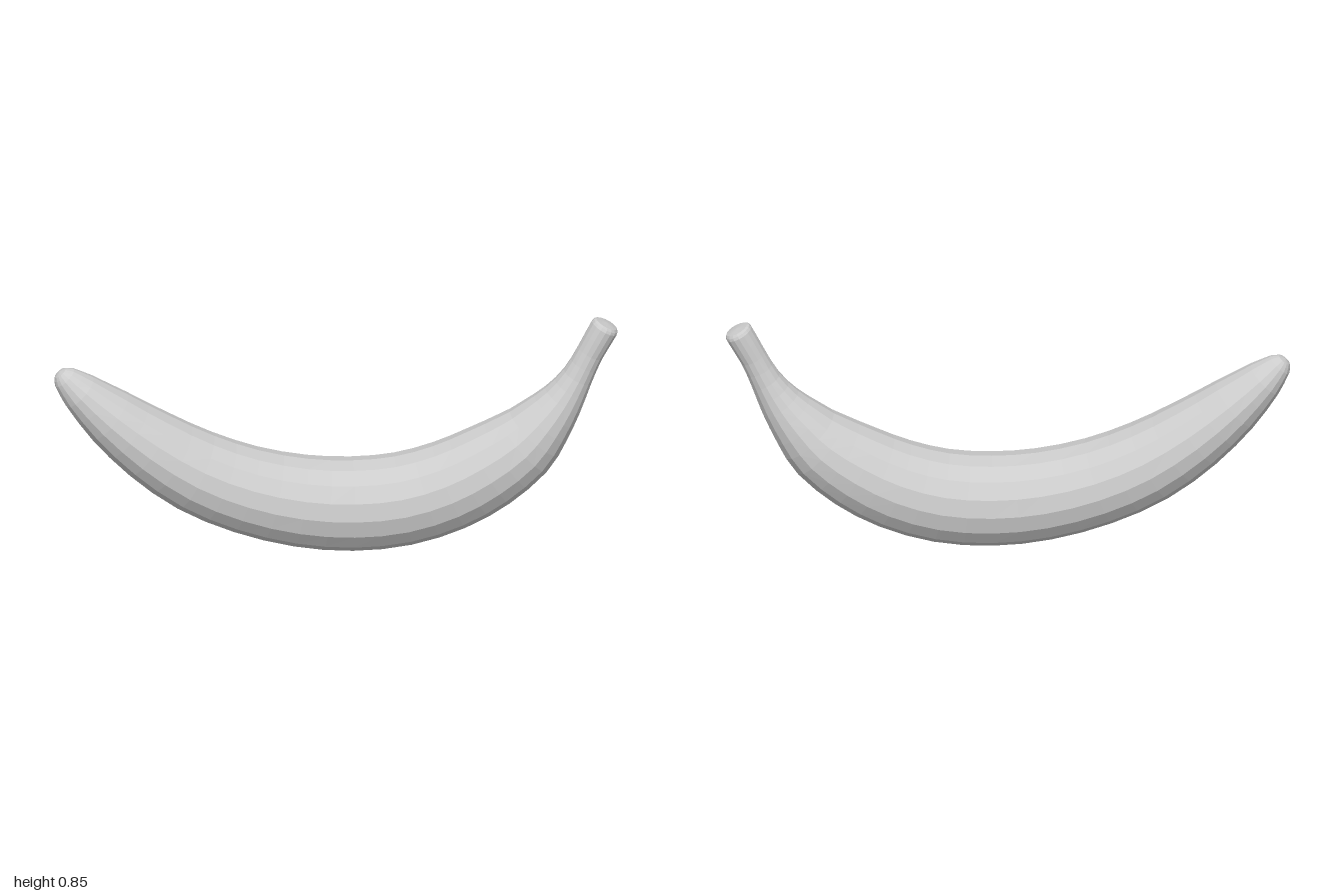
import * as THREE from 'three';

// Cross-sections from blossom tip to stem end: centre x, centre y, in-plane radius, z radius
const SECTIONS = [
  [-0.988, 0.708, 0, 0],
  [-0.984, 0.703, 0.025, 0.025],
  [-0.968, 0.684, 0.046, 0.046],
  [-0.915, 0.63, 0.072, 0.08],
  [-0.81, 0.533, 0.104, 0.117],
  [-0.67, 0.42, 0.13, 0.146],
  [-0.505, 0.313, 0.148, 0.163],
  [-0.325, 0.235, 0.156, 0.17],
  [-0.13, 0.185, 0.163, 0.173],
  [0.055, 0.168, 0.167, 0.173],
  [0.235, 0.182, 0.166, 0.173],
  [0.4, 0.23, 0.162, 0.169],
  [0.54, 0.3, 0.153, 0.158],
  [0.663, 0.385, 0.133, 0.138],
  [0.74, 0.467, 0.105, 0.113],
  [0.805, 0.55, 0.077, 0.084],
  [0.857, 0.637, 0.056, 0.062],
  [0.902, 0.728, 0.049, 0.053],
  [0.953, 0.822, 0.051, 0.054],
  [0.961, 0.836, 0.041, 0.04],
  [0.963, 0.84, 0, 0],
];
const SIDES = 16;
const STEPS = 2; // rings per section

function sweptBody() {
  const last = SECTIONS.length - 1;
  const spine = new THREE.CatmullRomCurve3(SECTIONS.map(([x, y]) => new THREE.Vector3(x, y, 0)));
  const radii = SECTIONS.map(([, , r, rz]) => [r, rz]);
  const size = new THREE.CatmullRomCurve3(radii.map(([r, rz], i) => new THREE.Vector3(i * 0.1, r, rz)));
  const rings = last * STEPS;
  const positions = [];
  const index = [];

  for (let i = 0; i <= rings; i++) {
    const t = i / rings;
    const c = spine.getPoint(t);
    const d = spine.getTangent(t);
    const end = i === 0 || i === rings;
    const s = size.getPoint(t);
    const r = end ? 0 : Math.max(s.y, 0);
    const rz = end ? 0 : Math.max(s.z, 0);
    for (let j = 0; j < SIDES; j++) {
      const a = (j / SIDES) * Math.PI * 2;
      positions.push(c.x - d.y * r * Math.cos(a), c.y + d.x * r * Math.cos(a), rz * Math.sin(a));
    }
  }

  // Skin between rings; the end rings are single points, so they get fans
  for (let i = 0; i < rings; i++) {
    for (let j = 0; j < SIDES; j++) {
      const k = (j + 1) % SIDES;
      const a = i * SIDES + j, b = i * SIDES + k;
      const c = a + SIDES, d = b + SIDES;
      if (i > 0) index.push(a, b, c);
      if (i < rings - 1) index.push(b, d, c);
    }
  }

  const indexed = new THREE.BufferGeometry();
  indexed.setAttribute('position', new THREE.Float32BufferAttribute(positions, 3));
  indexed.setIndex(index);
  const geometry = indexed.toNonIndexed();
  geometry.computeVertexNormals();
  return geometry;
}

export function createModel() {
  const group = new THREE.Group();
  group.name = 'banana';
  const material = new THREE.MeshStandardMaterial({ color: 0xcccccc, flatShading: true });

  // Curved peel with its tapered tip and stem in one continuous skin
  const peel = new THREE.Mesh(sweptBody(), material);
  peel.name = 'peel';
  group.add(peel);
  return group;
}
